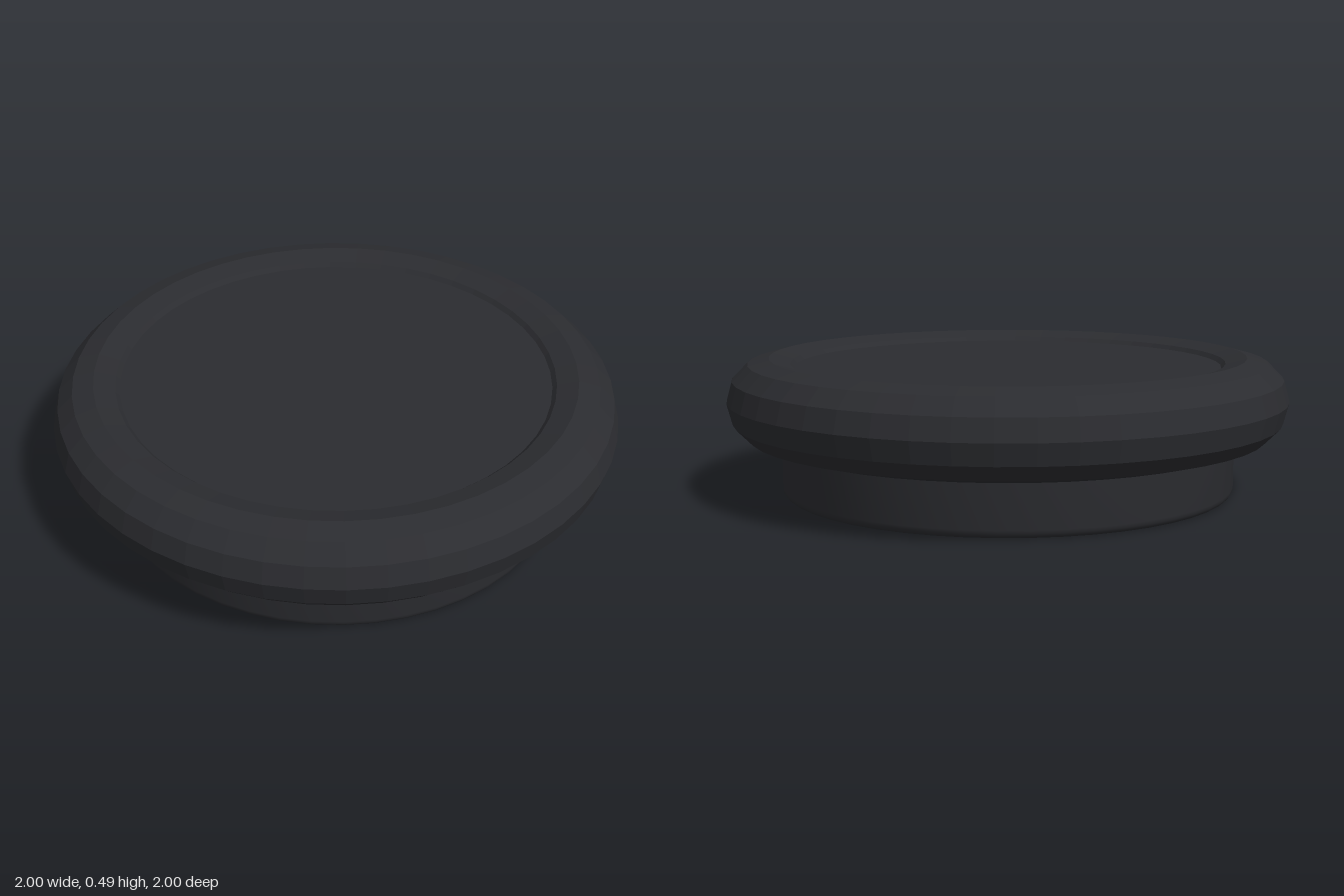
import * as THREE from 'three';
import { toCreasedNormals } from 'three/addons/utils/BufferGeometryUtils.js';

export function createModel() {
  const group = new THREE.Group();
  const color = 0x2b2c30;

  // Round plug with a softened lower edge and a flat top recessed inside the rim
  const radius = 0.81, bevel = 0.03, top = 0.455;
  const profile = [new THREE.Vector2(0, 0)];
  for (let i = 0; i <= 4; i++) {
    const a = (i / 4) * Math.PI / 2;
    profile.push(new THREE.Vector2(
      radius - bevel + bevel * Math.sin(a),
      bevel - bevel * Math.cos(a)));
  }
  profile.push(new THREE.Vector2(radius, top), new THREE.Vector2(0, top));
  const plug = new THREE.Mesh(
    toCreasedNormals(new THREE.LatheGeometry(profile, 48), Math.PI / 6),
    new THREE.MeshStandardMaterial({ color }));
  plug.name = 'plug';
  group.add(plug);

  // Thick faceted rim around the top
  const rimGeometry = new THREE.TorusGeometry(0.85, 0.15, 12, 48);
  rimGeometry.rotateX(-Math.PI / 2);
  const rim = new THREE.Mesh(
    rimGeometry,
    new THREE.MeshStandardMaterial({ color, flatShading: true }));
  rim.name = 'rim';
  rim.position.y = 0.34;
  group.add(rim);

  return group;
}
